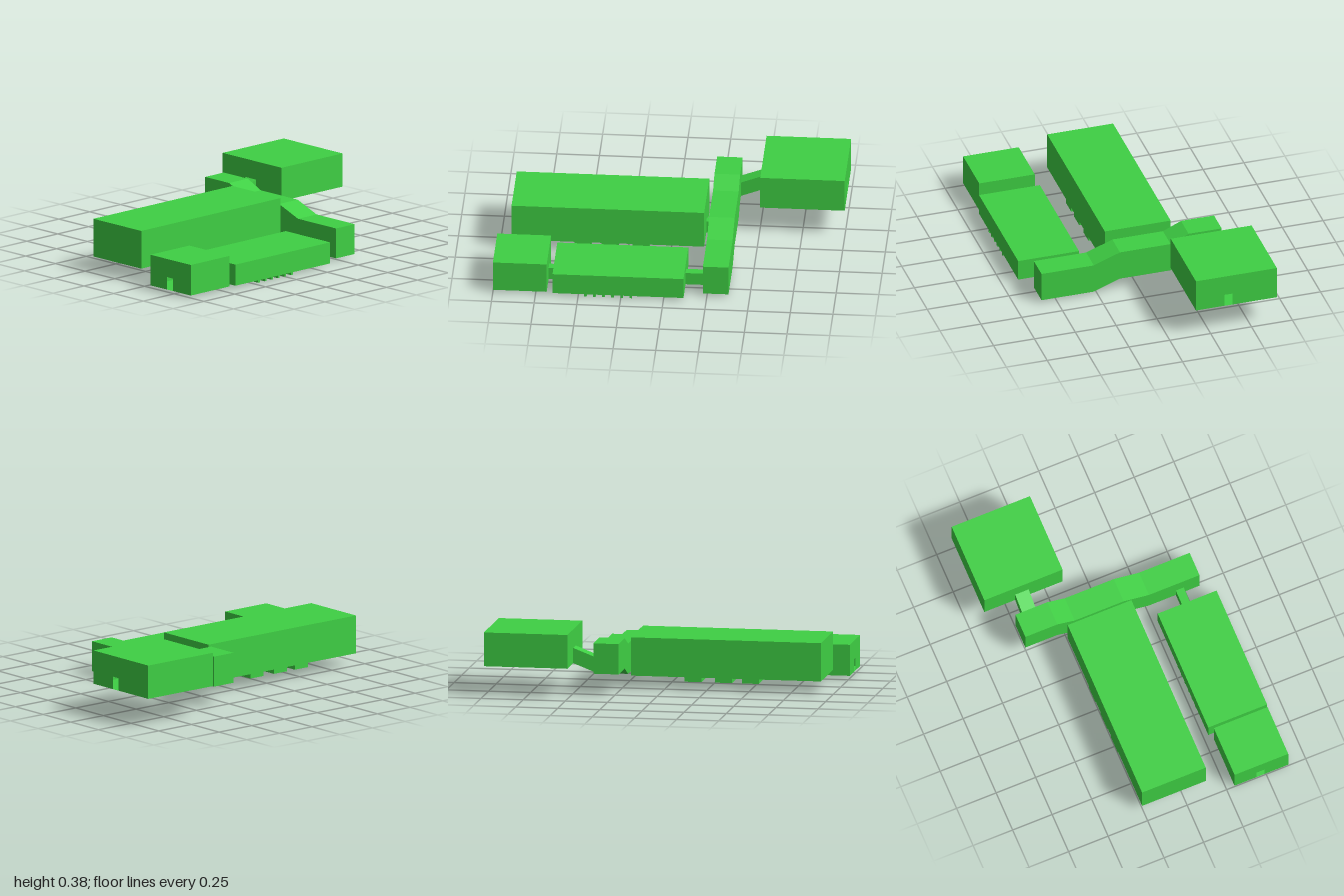
import * as THREE from 'three';

const material = new THREE.MeshStandardMaterial({ color: 0x3fd044, side: THREE.DoubleSide, flatShading: true });

function addMesh(group, name, geometry) {
  const mesh = new THREE.Mesh(geometry, material);
  mesh.name = name;
  group.add(mesh);
}

// Flat panel from a 2D outline, facing +z, or -z when flipped
function panel(points, flip) {
  const g = new THREE.ShapeGeometry(new THREE.Shape(points.map(p => new THREE.Vector2(...p))));
  if (flip) {
    g.index.array.reverse();
    g.computeVertexNormals();
  }
  return g;
}

// Folded strip that follows a [position, y] line and spans w0..w1 across it
function strip(line, w0, w1, place) {
  const pos = [];
  for (let i = 0; i + 1 < line.length; i++) {
    const [a, b] = [line[i], line[i + 1]];
    const q = [place(...a, w0), place(...a, w1), place(...b, w1), place(...b, w0)];
    for (const k of [0, 1, 2, 0, 2, 3]) pos.push(...q[k]);
  }
  const g = new THREE.BufferGeometry();
  g.setAttribute('position', new THREE.Float32BufferAttribute(pos, 3));
  g.computeVertexNormals();
  return g;
}

// Cut doorways [x0, x1, top] (listed left to right) into a floor line
function withDoors(bottom, doors) {
  const out = [];
  bottom.forEach((p, i) => {
    out.push(p);
    const next = bottom[i + 1];
    if (!next) return;
    for (const [x0, x1, top] of doors) {
      if (x0 > p[0] && x1 < next[0]) out.push([x0, p[1]], [x0, top], [x1, top], [x1, p[1]]);
    }
  });
  return out;
}

// Open-ended duct running along z: floor, roof and two side walls
function duct(name, x0, x1, floor, roof) {
  const group = new THREE.Group();
  group.name = name;
  const place = (z, y, x) => [x, y, z];
  const back = [...roof].reverse();
  addMesh(group, 'floor', strip(floor, x0, x1, place));
  addMesh(group, 'roof', strip(back, x0, x1, place));
  for (const x of [x0, x1]) {
    const g = panel([...floor, ...back], x === x1);
    addMesh(group, 'sideWall', g.rotateY(-Math.PI / 2).translate(x, 0, 0));
  }
  return group;
}

// Room: a duct closed by end walls with doorways, with trenches sunk in its floor
function room({ name, x, y, z, backDoors = [], frontDoors = [], trenches = [], depth = 0 }) {
  const floor = [[z[0], y[0]]];
  for (const [a, b] of trenches) {
    floor.push([a, y[0]], [a, y[0] - depth], [b, y[0] - depth], [b, y[0]]);
  }
  floor.push([z[1], y[0]]);
  const group = duct(name, x[0], x[1], floor, [[z[0], y[1]], [z[1], y[1]]]);
  [backDoors, frontDoors].forEach((doors, i) => {
    const base = withDoors([[x[0], y[0]], [x[1], y[0]]], doors);
    const wall = panel([...base, [x[1], y[1]], [x[0], y[1]]], i === 0);
    addMesh(group, i ? 'frontWall' : 'backWall', wall.translate(0, 0, z[i]));
  });
  return group;
}

export function createModel() {
  const model = new THREE.Group();
  model.name = 'roomComplex';

  const eastDoor = [0.44, 0.49, 0.09];
  const hallDoor = [-0.065, -0.02, 0.15];
  const rampDoor = [-0.46, -0.375, 0.215];

  // Rooms
  model.add(room({
    name: 'upperRoom', x: [-0.655, -0.16], y: [0.175, 0.375], z: [-1, -0.505],
    backDoors: [[-0.385, -0.335, 0.25]], frontDoors: [[-0.46, -0.375, 0.265]],
  }));
  model.add(room({
    name: 'longHall', x: [-0.255, 0.148], y: [0.075, 0.302], z: [-0.2, 0.928],
    backDoors: [hallDoor], trenches: [[0.12, 0.22], [0.3, 0.4], [0.46, 0.56]], depth: 0.026,
  }));
  const slots = [];
  for (let i = 0; i < 6; i++) slots.push([0.185 + i * 0.053, 0.2 + i * 0.053]);
  model.add(room({
    name: 'slottedRoom', x: [0.28, 0.652], y: [0.015, 0.142], z: [-0.117, 0.65],
    backDoors: [eastDoor], frontDoors: [eastDoor], trenches: slots, depth: 0.015,
  }));
  model.add(room({
    name: 'entranceRoom', x: [0.3, 0.64], y: [0.015, 0.199], z: [0.685, 1],
    backDoors: [eastDoor], frontDoors: [eastDoor],
  }));

  // Cross corridor stepping down along x by two ramps
  const corridor = new THREE.Group();
  corridor.name = 'crossCorridor';
  const [zBack, zFront] = [-0.376, -0.226];
  const base = [[-0.512, 0.125], [-0.31, 0.125], [-0.2, 0.075], [0.11, 0.075], [0.27, 0.015], [0.59, 0.015]];
  const roof = base.map(([x, y]) => [x, y + 0.18]).reverse();
  addMesh(corridor, 'shell', strip([...base, ...roof, base[0]], zFront, zBack, (x, y, z) => [x, y, z]));
  addMesh(corridor, 'backWall', panel([...withDoors(base, [rampDoor]), ...roof], true).translate(0, 0, zBack));
  addMesh(corridor, 'frontWall', panel([...withDoors(base, [hallDoor, eastDoor]), ...roof]).translate(0, 0, zFront));
  model.add(corridor);

  // Passages joining the doorways: x range, back end [z, y], front end [z, y], height
  const passages = [
    ['rampPassage', -0.46, -0.375, [-0.505, 0.175], [zBack, 0.125], 0.09],
    ['hallPassage', -0.065, -0.02, [zFront, 0.075], [-0.2, 0.075], 0.075],
    ['slottedRoomPassage', 0.44, 0.49, [zFront, 0.015], [-0.117, 0.015], 0.075],
    ['entrancePassage', 0.44, 0.49, [0.65, 0.015], [0.685, 0.015], 0.075],
  ];
  for (const [name, x0, x1, a, b, h] of passages) {
    model.add(duct(name, x0, x1, [a, b], [a, b].map(([z, y]) => [z, y + h])));
  }
  return model;
}
